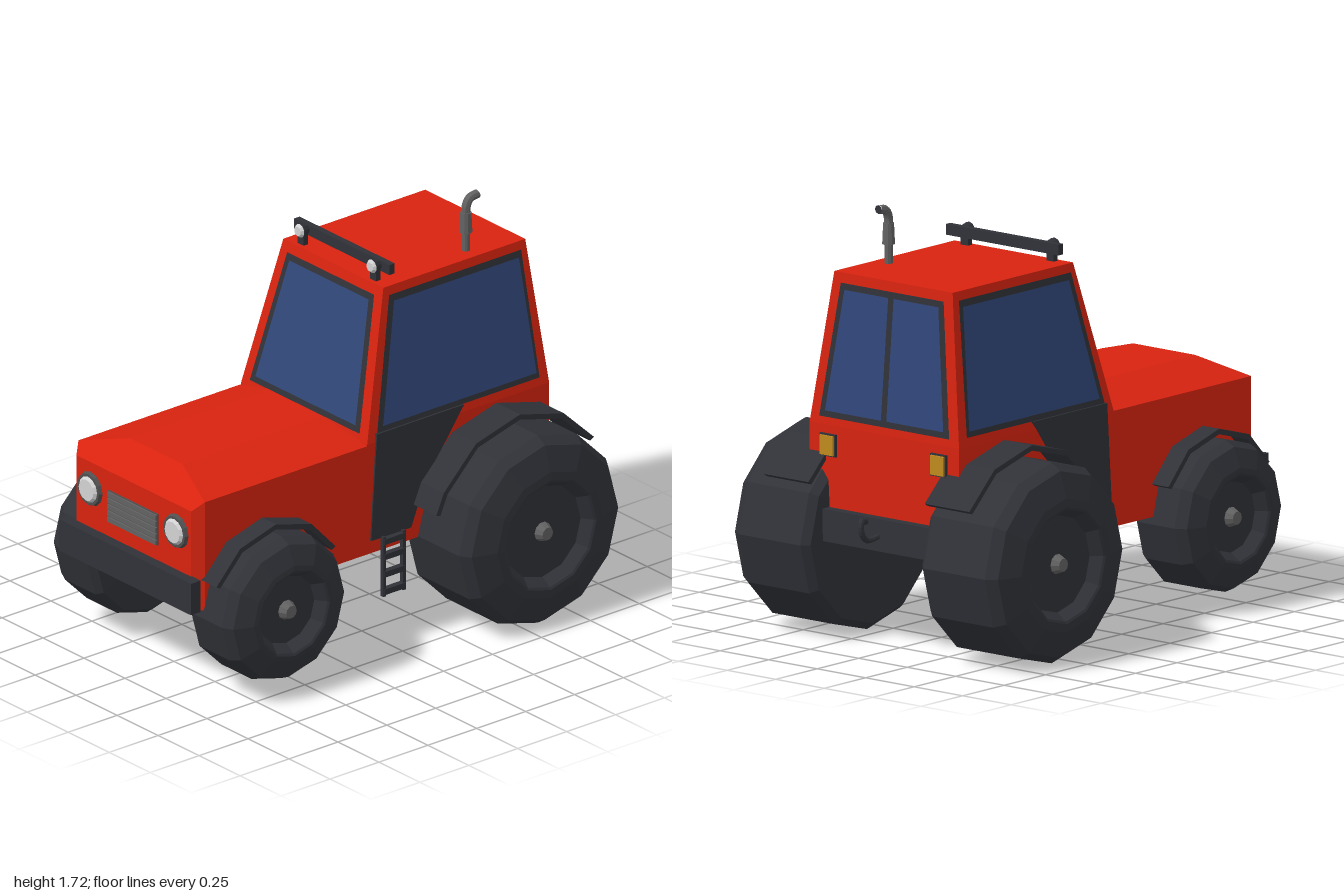
import * as THREE from 'three';
import { ConvexGeometry } from 'three/addons/geometries/ConvexGeometry.js';

const mat = (name, color) => Object.assign(new THREE.MeshStandardMaterial({ color }), { name });

export function createModel() {
  const red = mat('red paint', 0xd8230f), dark = mat('dark rubber', 0x303238), glass = mat('blue glass', 0x31477a);
  const grey = mat('grey metal', 0x626262), slatGrey = mat('grille slat', 0x505050);
  const light = mat('lamp white', 0xd2d2d2), amber = mat('amber', 0xc08a1e);
  const root = new THREE.Group();
  root.name = 'tractor';

  // Adds a mesh with faceted normals
  function add(name, geometry, material, pos = [0, 0, 0], parent = root) {
    const g = geometry.index ? geometry.toNonIndexed() : geometry;
    g.computeVertexNormals();
    const mesh = new THREE.Mesh(g, material);
    mesh.name = name;
    mesh.position.set(...pos);
    parent.add(mesh);
    return mesh;
  }
  // Box given by its limits on each axis
  const box = (name, [x0, x1], [y0, y1], [z0, z1], m) =>
    add(name, new THREE.BoxGeometry(x1 - x0, y1 - y0, z1 - z0), m, [(x0 + x1) / 2, (y0 + y1) / 2, (z0 + z1) / 2]);
  // Convex solid mirrored across x = 0
  const hull = (name, pts, m) =>
    add(name, new ConvexGeometry(pts.flatMap(([x, y, z]) => [new THREE.Vector3(x, y, z), new THREE.Vector3(-x, y, z)])), m);
  // Plate drawn as [z, y] points and extruded across x
  function sidePlate(name, pts, x0, x1, s, m) {
    const shape = new THREE.Shape(pts.map(([z, y]) => new THREE.Vector2(z, y)));
    const g = new THREE.ExtrudeGeometry(shape, { depth: x1 - x0, bevelEnabled: false });
    g.rotateY(-Math.PI / 2);
    add(name, g, m, [s > 0 ? x1 : -x0, 0, 0]);
  }

  // Bonnet, lower body and tapered cab
  hull('bonnet', [[0.35, 0.4, 0.955], [0.35, 0.825, 0.955], [0.385, 0.4, 0.915], [0.385, 0.865, 0.915],
    [0.16, 0.93, 0.84], [0.16, 0.93, 0.125], [0.385, 0.865, 0.085], [0.385, 0.4, 0.085]], red);
  box('lowerBody', [-0.385, 0.385], [0.4, 0.87], [-0.845, 0.085], red);
  hull('cab', [[0.385, 0.87, 0.085], [0.385, 0.87, -0.845], [0.305, 1.475, -0.065], [0.305, 1.475, -0.79]], red);

  // Windows lie on the sloping cab faces; corners run anticlockwise from outside
  const t = y => (y - 0.87) / 0.605;
  const faces = {
    front: (u, y, o) => [u, y, 0.085 - 0.15 * t(y) + o],
    back: (u, y, o) => [-u, y, -0.845 + 0.055 * t(y) - o],
    left: (u, y, o) => [0.385 - 0.08 * t(y) + o, y, -u],
    right: (u, y, o) => [-0.385 + 0.08 * t(y) - o, y, u],
  };
  function pane(name, face, corners, offset, m) {
    const p = corners.map(([u, y]) => faces[face](u, y, offset));
    const g = new THREE.BufferGeometry();
    g.setAttribute('position', new THREE.Float32BufferAttribute([0, 1, 2, 0, 2, 3].flatMap(i => p[i]), 3));
    add(name, g, m);
  }
  const endFrame = [[-0.335, 0.9], [0.335, 0.9], [0.265, 1.435], [-0.265, 1.435]];
  const endGlass = [[-0.305, 0.925], [0.305, 0.925], [0.242, 1.41], [-0.242, 1.41]];
  const sideFrame = [[-0.797, 0.905], [0.033, 0.905], [-0.087, 1.44], [-0.762, 1.44]];
  const sideGlass = [[-0.782, 0.928], [0.003, 0.928], [-0.107, 1.413], [-0.745, 1.413]];
  const flip = pts => pts.map(([u, y]) => [-u, y]).reverse();
  for (const face of ['front', 'back']) {
    pane(face + 'WindowFrame', face, endFrame, 0.004, dark);
    pane(face + 'Window', face, endGlass, 0.007, glass);
  }
  pane('backWindowBar', 'back', [[-0.014, 0.915], [0.014, 0.915], [0.014, 1.42], [-0.014, 1.42]], 0.01, dark);
  pane('rightWindowFrame', 'right', sideFrame, 0.004, dark);
  pane('rightWindow', 'right', sideGlass, 0.007, glass);
  pane('leftWindowFrame', 'left', flip(sideFrame), 0.004, dark);
  pane('leftWindow', 'left', flip(sideGlass), 0.007, glass);

  // Twelve-sided wheel with a recessed rim; w0 and w1 are the inner and outer sides
  function wheel(name, s, R, w0, w1, y, z, rim) {
    const group = new THREE.Group();
    group.name = name;
    group.position.set(0, y, z);
    group.rotation.y = s > 0 ? 0 : Math.PI;
    root.add(group);
    const profile = [[0, w0], [R * 0.62, w0], [R * 0.93, w0 + 0.01], [R, w0 + 0.04], [R, w1 - 0.08], [R * 0.93, w1 - 0.035],
      [R * 0.67, w1 - 0.003], [rim + 0.04, w1], [rim + 0.03, w1 - 0.005], [rim, w1 - 0.05], [0, w1 - 0.05]];
    add('tyre', new THREE.LatheGeometry(profile.map(p => new THREE.Vector2(...p)), 12).rotateZ(-Math.PI / 2), dark, [0, 0, 0], group);
    add('hub', new THREE.CylinderGeometry(0.027, 0.042, 0.035, 10).rotateZ(-Math.PI / 2), grey, [w1 - 0.035, 0, 0], group);
  }
  // Thin arched strip; angles in degrees, zero pointing forwards
  function fender(name, s, cz, cy, R, angles, x1) {
    const arc = r => angles.map(a => [cz + r * Math.cos(a * Math.PI / 180), cy + r * Math.sin(a * Math.PI / 180)]);
    sidePlate(name, [...arc(R), ...arc(R - 0.022).reverse()], 0.3, x1, s, dark);
  }

  const door = [[0.04, 0.905], [0.07, 0.455], [-0.135, 0.455], [-0.165, 0.53], [-0.215, 0.65], [-0.31, 0.775], [-0.405, 0.905]];
  for (const s of [1, -1]) {
    const side = s > 0 ? 'left' : 'right';
    const span = (a, b) => (s > 0 ? [a, b] : [-b, -a]);
    wheel(side + 'RearWheel', s, 0.403, 0.278, 0.713, 0.403, -0.578, 0.195);
    wheel(side + 'FrontWheel', s, 0.305, 0.278, 0.582, 0.37, 0.622, 0.143);
    fender(side + 'RearFender', s, -0.575, 0.41, 0.45, [18, 30, 60, 90, 120, 147], 0.53);
    fender(side + 'FrontFender', s, 0.622, 0.37, 0.345, [28, 58, 90, 122, 152], 0.47);
    sidePlate(side + 'DoorPanel', door, 0.375, 0.392, s, dark);

    // Step ladder
    for (const z of [0.013, -0.088])
      box(side + 'LadderRail', span(0.388, 0.406), [0.205, 0.46], [z - 0.007, z + 0.007], dark);
    for (const y of [0.225, 0.3, 0.375, 0.44])
      box(side + 'LadderRung', span(0.384, 0.41), [y - 0.012, y + 0.012], [-0.09, 0.015], dark);

    // Headlamp, roof lamp and rear marker
    add(side + 'HeadlampRim', new THREE.CylinderGeometry(0.066, 0.074, 0.018, 12).rotateX(Math.PI / 2), slatGrey, [s * 0.262, 0.712, 0.96]);
    add(side + 'Headlamp', new THREE.CylinderGeometry(0.045, 0.068, 0.025, 12).rotateX(Math.PI / 2), light, [s * 0.262, 0.712, 0.967]);
    box(side + 'RoofLampPost', span(0.202, 0.24), [1.465, 1.53], [-0.105, -0.082], dark);
    add(side + 'RoofLampShell', new THREE.CylinderGeometry(0.03, 0.022, 0.035, 10).rotateX(Math.PI / 2), dark, [s * 0.22, 1.535, -0.095]);
    add(side + 'RoofLamp', new THREE.CylinderGeometry(0.02, 0.029, 0.012, 10).rotateX(Math.PI / 2), light, [s * 0.22, 1.535, -0.072]);
    box(side + 'MarkerFrame', span(0.245, 0.325), [0.745, 0.835], [-0.855, -0.84], dark);
    box(side + 'Marker', span(0.251, 0.319), [0.751, 0.829], [-0.864, -0.85], amber);
  }

  // Grille with slats
  box('grille', [-0.15, 0.15], [0.61, 0.745], [0.95, 0.96], slatGrey);
  for (let i = 0; i < 5; i++)
    box('grilleSlat', [-0.148, 0.148], [0.613 + i * 0.027, 0.633 + i * 0.027], [0.955, 0.967], grey);

  // Bumpers and roof light bar
  box('frontBumper', [-0.402, 0.402], [0.41, 0.545], [0.95, 1.0], dark);
  box('rearBar', [-0.31, 0.31], [0.41, 0.54], [-0.885, -0.84], dark);
  box('roofLightBar', [-0.29, 0.29], [1.512, 1.555], [-0.135, -0.108], dark);

  // Bent tubes in the plane of constant x, given as [z, y] points
  const tube = (name, pts, x, r, m) => add(name, new THREE.TubeGeometry(
    new THREE.CatmullRomCurve3(pts.map(([z, y]) => new THREE.Vector3(x, y, z))), 14, r, 8), m);
  tube('towHook', [[-0.87, 0.47], [-0.95, 0.465], [-0.978, 0.49], [-0.986, 0.53], [-0.972, 0.555], [-0.957, 0.535]], 0, 0.012, dark);

  // Exhaust
  add('exhaustPipe', new THREE.CylinderGeometry(0.017, 0.017, 0.1, 10), grey, [0.235, 1.515, -0.545]);
  add('exhaustMuffler', new THREE.CylinderGeometry(0.022, 0.026, 0.085, 10), grey, [0.235, 1.595, -0.545]);
  tube('exhaustTip', [[-0.545, 1.62], [-0.548, 1.665], [-0.565, 1.692], [-0.605, 1.7]], 0.235, 0.018, grey);
  add('exhaustMouth', new THREE.CircleGeometry(0.018, 8).rotateY(Math.PI), dark, [0.235, 1.7, -0.606]);
  return root;
}
